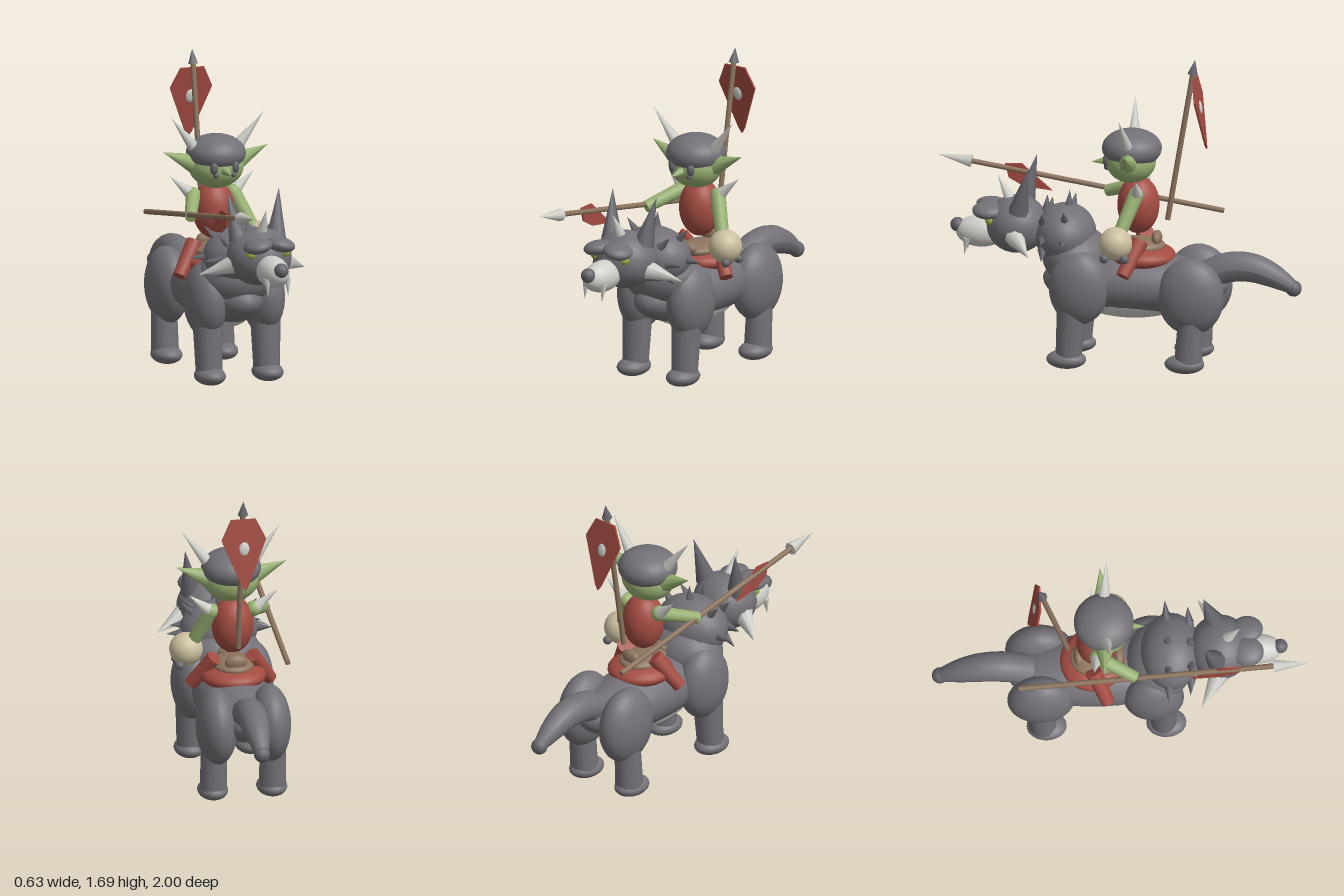
import * as THREE from 'three';

const mat = (name, color) => {
  const m = new THREE.MeshStandardMaterial({ color });
  m.name = name;
  return m;
};
const V = (p) => new THREE.Vector3(...p);

export function createModel() {
  const fur = mat('grey fur', 0x737177);
  const dark = mat('dark grey', 0x66656c);
  const bone = mat('bone white', 0xcfcfca);
  const red = mat('red cloth', 0xa34c42);
  const skin = mat('green skin', 0x98b173);
  const wood = mat('brown wood', 0x8d755f);
  const hide = mat('beige hide', 0xcbbf9f);
  const yellow = mat('yellow eye', 0xa3ae4e);

  const model = new THREE.Group();
  const root = new THREE.Group();
  root.name = 'riderAndWolf';
  root.position.x = -0.01;
  model.add(root);

  const add = (name, geo, material) => {
    const m = new THREE.Mesh(geo, material);
    m.name = name;
    root.add(m);
    return m;
  };
  // Ellipsoid from centre and radii
  const ball = (name, material, c, r, seg = 24) => {
    const m = add(name, new THREE.SphereGeometry(1, seg, Math.ceil(seg * 0.67)), material);
    m.position.set(...c);
    m.scale.set(...(Array.isArray(r) ? r : [r, r, r]));
    return m;
  };
  // Tapered rod or cone from point a to point b
  const rod = (name, material, a, b, ra, rb, seg = 10) => {
    const A = V(a), B = V(b), d = B.clone().sub(A);
    const m = add(name, new THREE.CylinderGeometry(rb, ra, d.length(), seg), material);
    m.position.copy(A).add(B).multiplyScalar(0.5);
    m.quaternion.setFromUnitVectors(new THREE.Vector3(0, 1, 0), d.normalize());
    return m;
  };
  const spike = (name, material, a, b, r, seg = 8) => rod(name, material, a, b, r, 0, seg);
  const sides = (fn) => [-1, 1].forEach(fn);
  // Thin plate from outline points
  const plate = (name, pts) => {
    const s = new THREE.Shape(pts.map((p) => new THREE.Vector2(...p)));
    const g = new THREE.ExtrudeGeometry(s, { depth: 0.01, bevelEnabled: false });
    g.translate(0, 0, -0.005);
    return add(name, g, red);
  };

  // Wolf body
  ball('torso', fur, [0, 0.45, -0.1], [0.2, 0.165, 0.5], 32);
  ball('belly', bone, [0, 0.385, -0.07], [0.16, 0.13, 0.33]);
  ball('chest', fur, [0, 0.58, 0.22], [0.22, 0.16, 0.18]);
  ball('mane', fur, [0, 0.7, 0.28], [0.21, 0.16, 0.165]);

  // Legs and paws
  sides((s) => {
    ball('frontShoulder', fur, [s * 0.165, 0.45, 0.18], [0.11, 0.205, 0.162]);
    rod('frontLeg', fur, [s * 0.165, 0.05, 0.235], [s * 0.165, 0.36, 0.215], 0.07, 0.082, 16);
    ball('frontPaw', fur, [s * 0.165, 0.05, 0.247], [0.082, 0.05, 0.107]);
    ball('rearThigh', fur, [s * 0.145, 0.42, -0.42], [0.11, 0.21, 0.18]);
    rod('rearLeg', fur, [s * 0.16, 0.05, -0.41], [s * 0.16, 0.3, -0.425], 0.075, 0.07, 16);
    ball('rearPaw', fur, [s * 0.16, 0.05, -0.39], [0.082, 0.05, 0.107]);
  });

  // Tail: tube that narrows to its tip
  const path = new THREE.CatmullRomCurve3(
    [[0, 0.5, -0.48], [0, 0.55, -0.6], [0, 0.555, -0.72], [0, 0.52, -0.83], [0, 0.455, -0.95]].map(V));
  const tail = new THREE.TubeGeometry(path, 24, 1, 16, false);
  const tp = tail.attributes.position, v = new THREE.Vector3();
  for (let i = 0; i < tp.count; i++) {
    const t = Math.floor(i / 17) / 24, c = path.getPointAt(t);
    const r = 0.036 + 0.046 * Math.cos(Math.PI * 0.5 * Math.pow(t, 1.9));
    v.fromBufferAttribute(tp, i).sub(c).multiplyScalar(r).add(c);
    tp.setXYZ(i, v.x, v.y, v.z);
  }
  tail.computeVertexNormals();
  add('tail', tail, fur);
  ball('tailTip', dark, [0, 0.45, -0.952], 0.044, 16);

  // Rings of spikes on the mane
  const ring = (z, radii, angles, len) => angles.forEach((deg) => sides((s) => {
    if (deg === 0 && s < 0) return;
    const a = s * deg * Math.PI / 180, x = Math.sin(a), y = Math.cos(a);
    spike('maneSpike', dark, [x * radii[0], 0.7 + y * radii[1], z],
      [x * (radii[0] + len), 0.7 + y * (radii[1] + len), z - 0.005], 0.026, 6);
  }));
  ring(0.26, [0.19, 0.14], [0, 45, 90, 135], 0.1);
  ring(0.38, [0.16, 0.12], [0, 45, 90, 120], 0.09);

  // Wolf head
  ball('wolfHead', fur, [0, 0.74, 0.54], [0.175, 0.155, 0.165], 28);
  ball('snout', bone, [0, 0.69, 0.735], [0.08, 0.085, 0.135]);
  ball('wolfNose', dark, [0, 0.72, 0.86], 0.039, 16);
  spike('browHorn', bone, [0, 0.86, 0.57], [0, 1.01, 0.645], 0.035);
  sides((s) => {
    ball('brow', fur, [s * 0.065, 0.825, 0.685], [0.078, 0.04, 0.085]).rotation.z = -s * 0.2;
    ball('wolfEye', yellow, [s * 0.098, 0.78, 0.67], 0.027, 12);
    spike('wolfEar', dark, [s * 0.107, 0.83, 0.515], [s * 0.147, 1.087, 0.455], 0.057);
    spike('cheekSpike', bone, [s * 0.14, 0.705, 0.53], [s * 0.305, 0.64, 0.43], 0.055);
    spike('fang', bone, [s * 0.058, 0.665, 0.8], [s * 0.058, 0.57, 0.815], 0.02);
  });

  // Saddle
  ball('saddleCloth', red, [0, 0.598, -0.14], [0.175, 0.067, 0.175]);
  ball('saddleSeat', wood, [0, 0.655, -0.12], [0.115, 0.04, 0.14]);
  ball('saddleBack', wood, [0, 0.695, -0.215], [0.06, 0.042, 0.028], 16);
  ball('saddleFront', wood, [0, 0.675, 0.0], [0.06, 0.035, 0.028], 16);

  // Rider body
  ball('riderTorso', red, [0, 0.877, -0.115], [0.113, 0.157, 0.113]);
  sides((s) => {
    rod('riderLeg', red, [s * 0.1, 0.7, -0.14], [s * 0.215, 0.535, -0.065], 0.045, 0.036, 14);
    spike('shoulderSpike', bone, [s * 0.13, 0.97, -0.125], [s * 0.24, 1.066, -0.14], 0.034);
    ball('shoulder', skin, [s * 0.115, 0.96, -0.12], 0.042, 16);
  });
  rod('rightArm', skin, [-0.115, 0.96, -0.12], [-0.21, 0.885, 0.085], 0.04, 0.032, 14);
  rod('leftArm', skin, [0.115, 0.96, -0.12], [0.205, 0.76, -0.045], 0.042, 0.036, 14);

  // Round shield with studs
  ball('shield', hide, [0.235, 0.72, -0.03], 0.09);
  [0.025, -0.085].forEach((z) => ball('shieldStud', dark, [0.28, 0.648, z], 0.025, 12));

  // Rider head
  ball('riderHead', skin, [0, 1.12, -0.075], [0.15, 0.12, 0.135]);
  ball('helmet', fur, [0, 1.188, -0.08], [0.16, 0.102, 0.16], 28);
  spike('riderNose', skin, [0, 1.115, 0.03], [0, 1.1, 0.14], 0.032);
  sides((s) => {
    ball('riderEye', dark, [s * 0.06, 1.13, 0.045], [0.022, 0.037, 0.022], 14);
    ball('eyeDrop', dark, [s * 0.05, 1.09, 0.047], 0.016, 10);
    spike('riderEar', skin, [s * 0.12, 1.135, -0.08], [s * 0.3, 1.21, -0.09], 0.055);
    spike('helmetHorn', bone, [s * 0.115, 1.21, -0.075], [s * 0.265, 1.4, -0.055], 0.036);
  });

  // Spear with pennant
  rod('spearShaft', wood, [-0.218, 0.8, -0.54], [-0.218, 1.013, 0.83], 0.0145, 0.0145);
  spike('spearHead', bone, [-0.218, 1.01, 0.82], [-0.218, 1.04, 1.0], 0.036);
  const pennant = plate('spearPennant',
    [[-0.64, 1.005], [-0.62, 0.93], [-0.54, 0.885], [-0.385, 0.868], [-0.47, 0.94], [-0.55, 1.01]]);
  pennant.rotation.y = Math.PI / 2;
  pennant.position.x = -0.218;

  // Banner on a leaning pole
  rod('bannerPole', wood, [0, 0.8, -0.273], [0, 1.62, -0.41], 0.0145, 0.0145);
  spike('bannerTip', dark, [0, 1.61, -0.408], [0, 1.69, -0.421], 0.028);
  const banner = plate('banner',
    [[-0.067, 0], [-0.12, -0.11], [-0.02, -0.36], [0, -0.39], [0.02, -0.36], [0.12, -0.11], [0.067, 0]]);
  banner.position.set(0, 1.588, -0.42);
  banner.rotation.x = 0.16;
  const disc = ball('bannerDisc', bone, [0, 1.43, -0.445], [0.03, 0.04, 0.014], 16);
  disc.rotation.x = 0.16;

  return model;
}
